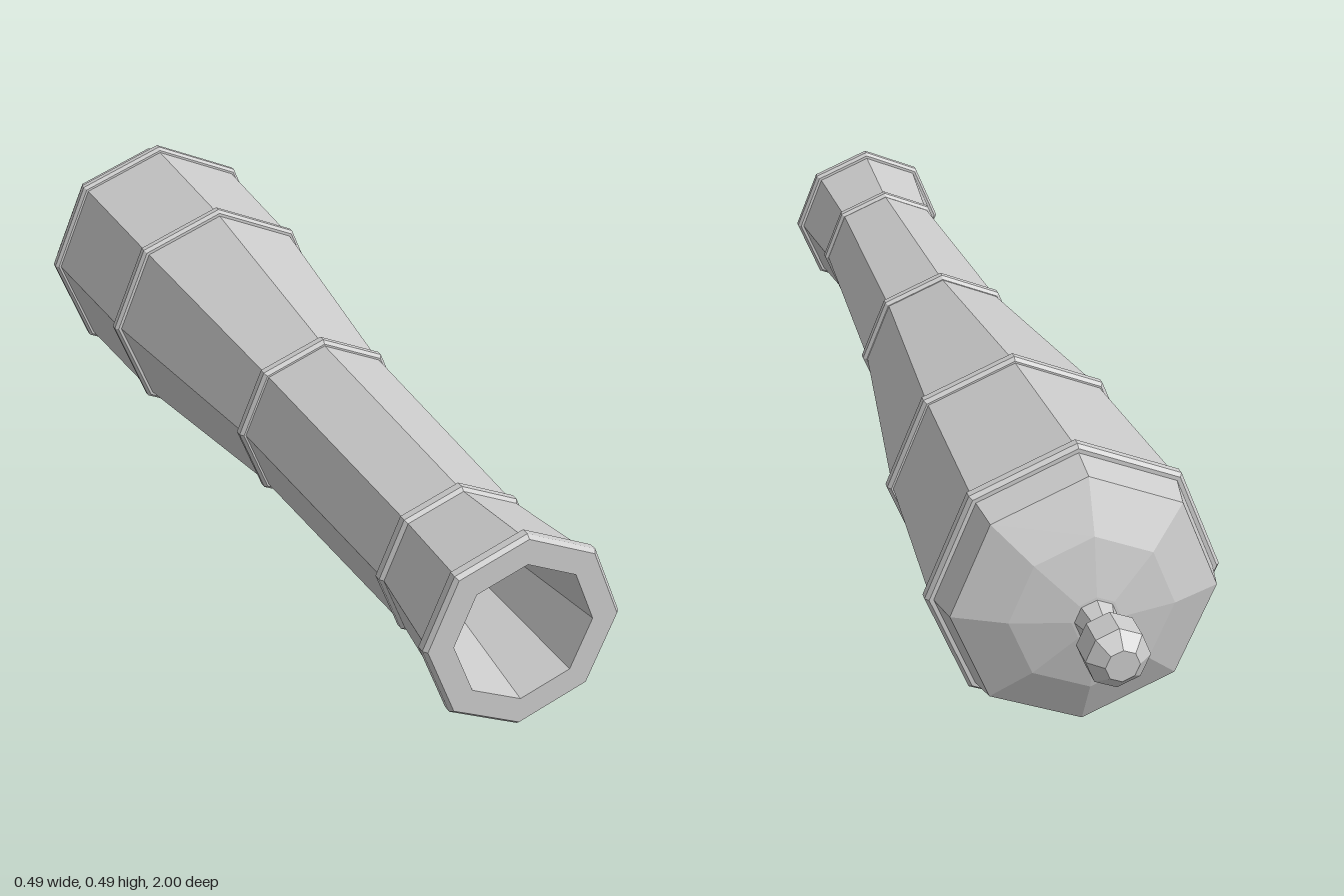
import * as THREE from 'three';

const SIDES = 8;
const AXIS_HEIGHT = 0.244;

export function createModel() {
  const model = new THREE.Group();
  model.name = 'cannonBarrel';
  const material = new THREE.MeshStandardMaterial({ color: 0xcccccc, flatShading: true });

  // Turn a [radius, z] profile (back to front) around the barrel axis
  function turned(name, profile) {
    const points = profile.map(([r, z]) => new THREE.Vector2(r, z));
    const geometry = new THREE.LatheGeometry(points, SIDES);
    geometry.rotateX(Math.PI / 2);
    const mesh = new THREE.Mesh(geometry, material);
    mesh.name = name;
    mesh.position.y = AXIS_HEIGHT;
    model.add(mesh);
  }

  // Tapered barrel with flared muzzle and flat muzzle face
  turned('barrel', [
    [0.217, -0.805], [0.233, -0.735], [0.215, -0.355], [0.152, 0.2],
    [0.131, 0.77], [0.155, 1], [0.116, 1],
  ]);

  // Bore, narrowing to a point inside the barrel
  turned('bore', [[0.116, 1], [0, 0.1]]);

  // Shallow domed breech
  turned('breech', [[0, -0.869], [0.04, -0.865], [0.134, -0.844], [0.217, -0.805]]);

  // Neck and rounded knob behind the breech
  turned('knobNeck', [[0.026, -0.91], [0.026, -0.895], [0.037, -0.86]]);
  turned('knob', [
    [0, -1], [0.027, -1], [0.051, -0.977], [0.051, -0.928], [0.027, -0.904], [0, -0.904],
  ]);

  // Bevelled reinforcing bands: [z, outer radius]
  const bands = [[0.986, 0.164], [0.77, 0.138], [0.202, 0.161], [-0.353, 0.225], [-0.735, 0.243]];
  bands.forEach(([z, r], i) => {
    const h = 0.014;
    turned(`band${i + 1}`, [
      [r - 0.02, z - h], [r - 0.006, z - h], [r, z - h * 0.5],
      [r, z + h * 0.5], [r - 0.006, z + h], [r - 0.02, z + h],
    ]);
  });

  return model;
}
